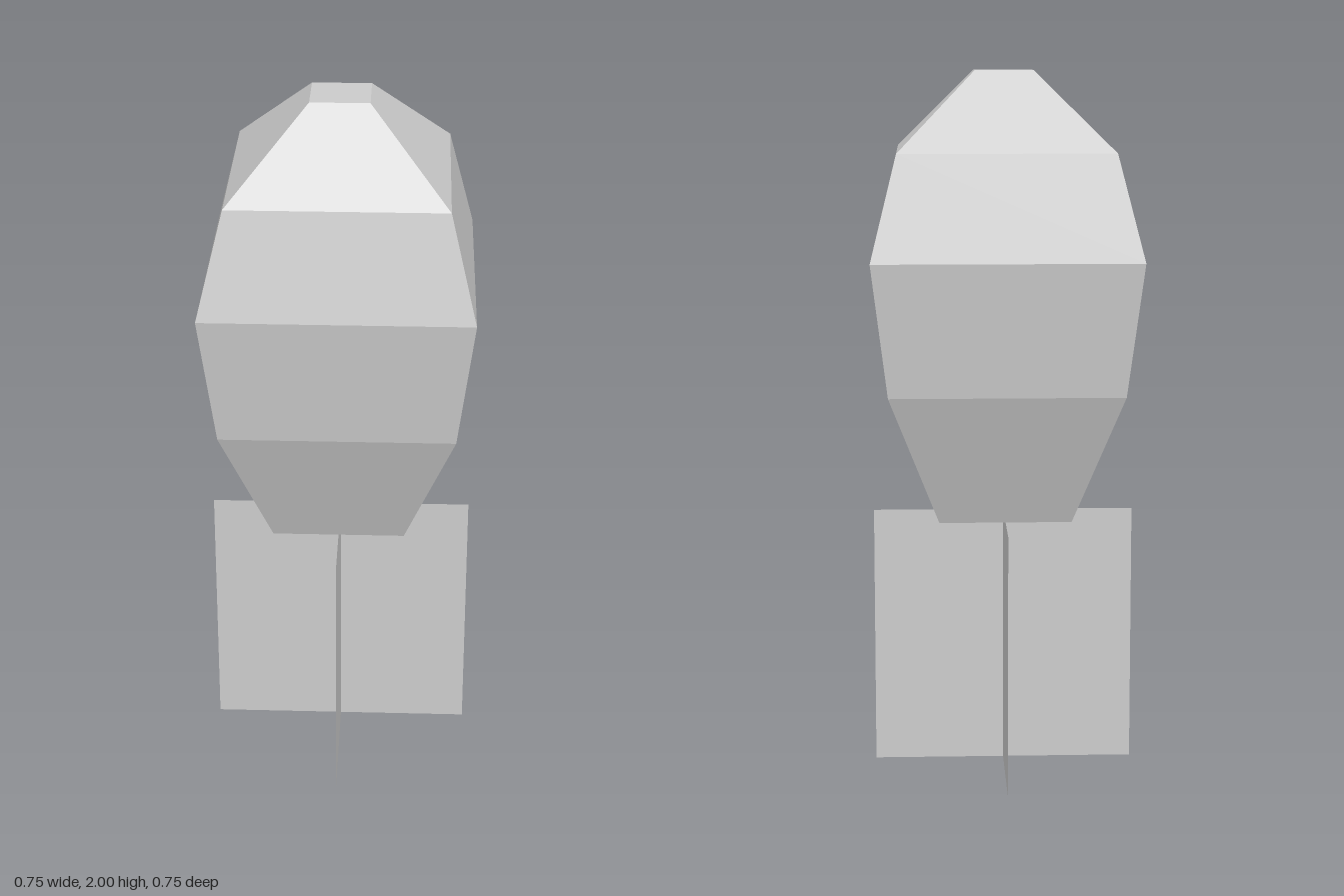
import * as THREE from 'three';

export function createModel() {
  const model = new THREE.Group();
  model.name = 'finnedPod';

  // Square faceted body: [half width, height] from the base to the tip
  const profile = [[0, 0.745], [0.186, 0.745], [0.325, 1.12], [0.37, 1.49], [0.298, 1.78], [0.081, 2], [0, 2]];
  const points = profile.map(([half, y]) => new THREE.Vector2(half * Math.SQRT2, y));
  const bodyGeometry = new THREE.LatheGeometry(points, 4, Math.PI / 4).toNonIndexed();
  bodyGeometry.computeVertexNormals();
  const body = new THREE.Mesh(
    bodyGeometry,
    new THREE.MeshStandardMaterial({ color: 0xcccccc, flatShading: true })
  );
  body.name = 'body';
  model.add(body);

  // Four thin tail fins meeting in a cross under the body
  const finWidth = 0.373, finHeight = 0.745;
  const finGeometry = new THREE.PlaneGeometry(finWidth, finHeight).translate(finWidth / 2, finHeight / 2, 0);
  const finMaterial = new THREE.MeshStandardMaterial({ color: 0xcccccc, flatShading: true, side: THREE.DoubleSide });
  ['leftFin', 'backFin', 'rightFin', 'frontFin'].forEach((name, i) => {
    const fin = new THREE.Mesh(finGeometry, finMaterial);
    fin.name = name;
    fin.rotation.y = i * Math.PI / 2;
    model.add(fin);
  });

  return model;
}
